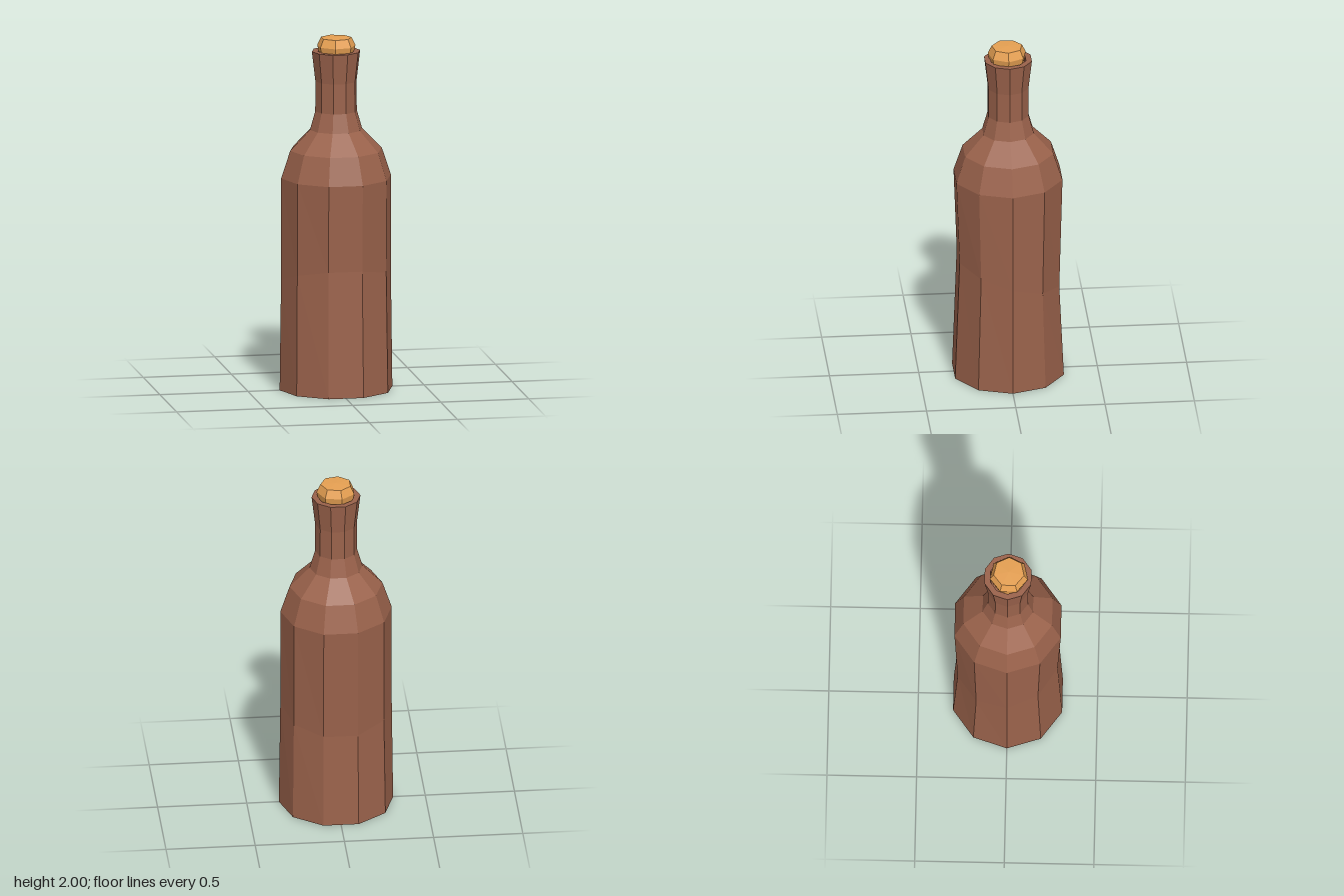
import * as THREE from 'three';

// Faceted surface of revolution, one vertex on +x; profile is [radius, y] from bottom to top.
function turned(name, profile, sides, material) {
  const points = profile.map(([r, y]) => new THREE.Vector2(r, y));
  const geometry = new THREE.LatheGeometry(points, sides, Math.PI / 2);
  const mesh = new THREE.Mesh(geometry, material);
  mesh.name = name;
  return mesh;
}

function facet(mesh) {
  mesh.geometry = mesh.geometry.toNonIndexed();
  mesh.geometry.computeVertexNormals();
  return mesh;
}

function flatColour(name, color) {
  const material = new THREE.MeshStandardMaterial({ color });
  material.name = name;
  return material;
}

export function createModel() {
  const glass = flatColour('brownGlass', 0x9a624b);
  const darkGlass = flatColour('darkBrownGlass', 0x523228);
  const corkColour = flatColour('cork', 0xe6a052);

  const model = new THREE.Group();
  model.name = 'bottle';

  // Body, shoulder, neck, flared lip and hollow mouth
  const waistY = 0.63;
  const bottle = turned('bottleBody', [
    [0.32, 0], [0.312, waistY], [0.312, 1.205], [0.26, 1.36],
    [0.148, 1.475], [0.118, 1.58], [0.117, 1.75], [0.137, 1.92],
    [0.103, 1.92], [0.095, 1.85], [0, 1.85],
  ], 10, glass);

  // The waist ring is pinched front to back and tilted up at the front
  const p = bottle.geometry.attributes.position;
  for (let i = 0; i < p.count; i++) {
    if (Math.abs(p.getY(i) - waistY) > 0.001) continue;
    const z = p.getZ(i) * 0.94;
    p.setXYZ(i, p.getX(i), waistY + z * 0.3, z);
  }
  model.add(facet(bottle));

  // Dark underside
  model.add(facet(turned('bottleBase', [[0, 0], [0.32, 0]], 10, darkGlass)));

  // Seven-sided stopper with a bevelled, slightly domed top
  const stopper = turned('stopper', [
    [0, 1.86], [0.09, 1.86], [0.102, 1.915], [0.109, 1.95], [0.087, 1.996], [0, 2],
  ], 7, corkColour);
  stopper.position.z = 0.005;
  model.add(facet(stopper));

  return model;
}
